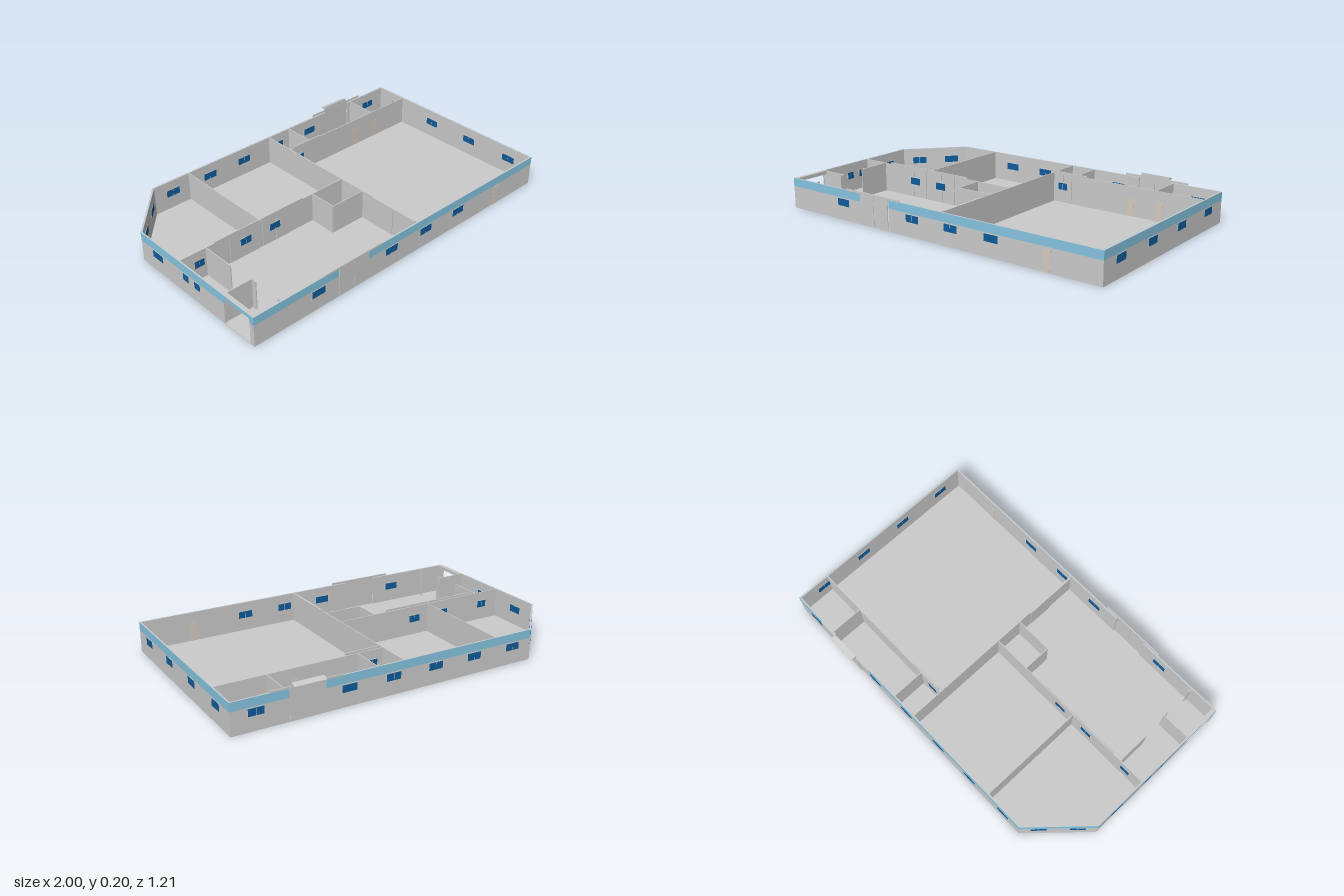
import * as THREE from 'three';

const H = 0.17, BAND = 0.124;
const mat = (color) => new THREE.MeshStandardMaterial({ color });
const grey = mat(0xcccccc), blue = mat(0x86c6e2), glass = mat(0x0f5c9c), pale = mat(0xd8d8d0), beige = mat(0xd6cdbf);

function box(parent, name, material, x0, x1, y0, y1, z0, z1) {
  const m = new THREE.Mesh(new THREE.BoxGeometry(x1 - x0, y1 - y0, z1 - z0), material);
  m.name = name;
  m.position.set((x0 + x1) / 2, (y0 + y1) / 2, (z0 + z1) / 2);
  parent.add(m);
  return m;
}

// Group whose local x runs along the wall from a to b, local z pointing outward
function along(root, name, a, b) {
  const g = new THREE.Group();
  g.name = name;
  g.position.set(a[0], 0, a[1]);
  g.rotation.y = Math.atan2(a[1] - b[1], b[0] - a[0]);
  g.userData.length = Math.hypot(b[0] - a[0], b[1] - a[1]);
  root.add(g);
  return g;
}

// Double-paned window passing through a wall between z0 and z1
function windowUnit(g, s, z0, z1, w = 0.084) {
  box(g, 'windowFrame', pale, s - w / 2 - 0.003, s + w / 2 + 0.003, 0.075, 0.12, z0 - 0.001, z1 + 0.001);
  for (const side of [-1, 1]) {
    const c = s + side * w / 4, h = w / 4 - 0.001;
    box(g, 'windowPane', glass, c - h, c + h, 0.078, 0.117, z0 - 0.002, z1 + 0.002);
  }
}

// Outer wall with a blue band outside, gaps for openings, and windows
function outerWall(root, name, a, b, windows, gaps = []) {
  const g = along(root, name, a, b);
  let s = 0;
  for (const [g0, g1] of [...gaps, [g.userData.length, 0]]) {
    if (g0 > s) {
      box(g, name + 'Panel', grey, s, g0, 0, H, -0.008, 0);
      box(g, 'blueBand', blue, s, g0, BAND, H, 0, 0.001);
    }
    s = g1;
  }
  for (const [p, w] of windows) windowUnit(g, p, -0.008, 0, w);
  return g;
}

// Sliding door: a long rail and two leaves hung in front of the wall
function slidingDoor(g, rail0, rail1, d0, d1, z, y0 = 0.006) {
  box(g, 'doorRail', grey, rail0, rail1, H, H + 0.011, z, z + 0.006);
  const mid = (d0 + d1) / 2;
  box(g, 'doorLeaf', grey, d0, mid - 0.001, y0, H + 0.003, z, z + 0.004);
  box(g, 'doorLeaf', grey, mid + 0.001, d1, y0, H + 0.003, z, z + 0.004);
}

export function createModel() {
  const root = new THREE.Group();
  root.name = 'building';
  const F = 0.598, B = -0.575;

  // Floor slab with one cut corner
  const plan = [[-1, F], [1, F], [1, B], [-0.73, B], [-1, -0.28]];
  const shape = new THREE.Shape(plan.map(([x, z]) => new THREE.Vector2(x, -z)));
  const floor = new THREE.Mesh(new THREE.ExtrudeGeometry(shape, { depth: 0.004, bevelEnabled: false }), grey);
  floor.name = 'floor';
  floor.rotation.x = -Math.PI / 2;
  root.add(floor);

  // Outer walls
  const front = outerWall(root, 'frontWall', plan[0], plan[1],
    [-0.61, -0.12, 0.13, 0.38].map((x) => [x + 1]), [[0.52, 0.72]]);
  slidingDoor(front, 0.42, 0.8, 0.52, 0.715, 0.001);
  box(front, 'frontDoor', beige, 1.68, 1.72, 0, 0.11, -0.01, 0.002);

  outerWall(root, 'rightWall', plan[1], plan[2], [0.45, 0.16, -0.13, -0.42].map((z) => [F - z]));

  const back = outerWall(root, 'backWall', plan[2], plan[3],
    [0.87, 0.38, 0.13, -0.12, -0.36, -0.61].map((x) => [1 - x]), [[0.3, 0.49]]);
  slidingDoor(back, 0.2, 0.58, 0.3, 0.49, 0.001);

  // Wedge awning over the back door
  const wedge = new THREE.Shape([[0, 0.18], [0.032, 0.183], [0.032, 0.187], [0, 0.197]].map((p) => new THREE.Vector2(...p)));
  const awning = new THREE.Mesh(new THREE.ExtrudeGeometry(wedge, { depth: 0.17, bevelEnabled: false }), grey);
  awning.name = 'awning';
  awning.rotation.y = -Math.PI / 2;
  awning.position.set(0.48, 0, 0.002);
  back.add(awning);

  const cut = Math.hypot(0.27, 0.295);
  outerWall(root, 'cornerWall', plan[3], plan[4], [[cut * 0.25], [cut * 0.75]]);

  const left = outerWall(root, 'leftWall', plan[4], plan[0],
    [[0.14], [0.37, 0.045], [0.46, 0.045]], [[0.665, 0.85]]);
  // Entrance lintel over the porch opening
  box(left, 'entranceLintel', grey, 0.66, 0.878, 0.15, H, -0.024, 0);
  box(left, 'blueBand', blue, 0.665, 0.85, 0.15, H, 0, 0.001);

  // Inner walls: [from, to]
  const T = 0.0025;
  const inner = [
    [[-1, 0.04], [0.07, 0.04]], [[-0.5, B], [-0.5, 0.04]], [[0.07, B], [0.07, F]],
    [[0.07, -0.38], [1, -0.38]], [[0.22, B], [0.22, -0.38]], [[0.72, B], [0.72, -0.38]],
    [[-0.84, 0.04], [-0.84, 0.235]], [[-0.145, 0.04], [-0.145, 0.2]], [[-0.145, 0.2], [0.07, 0.2]],
    [[-1, 0.38], [-0.83, 0.38]], [[-0.83, 0.38], [-0.83, 0.41]], [[-0.83, 0.565], [-0.83, F]],
  ].map(([a, b]) => {
    const g = along(root, 'innerWall', a, b);
    box(g, 'innerWallPanel', grey, 0, g.userData.length, 0, H, -T, T);
    return g;
  });

  // Doors and windows in the inner walls
  const [hall, , middle, rear] = inner;
  windowUnit(hall, 0.115, -T, T, 0.06);
  slidingDoor(hall, 0.21, 0.49, 0.3, 0.48, T);
  slidingDoor(hall, 0.5, 0.78, 0.51, 0.69, T);
  for (const s of [0.4, 0.59]) windowUnit(hall, s, -T, T + 0.004, 0.07);
  box(middle, 'doorRail', grey, 0.855, 1.155, H - 0.012, H, T, T + 0.006);
  box(middle, 'doorLeaf', grey, 0.86, 1.0, 0.006, H - 0.01, T, T + 0.004);
  slidingDoor(rear, 0.02, 0.22, 0.02, 0.12, T);
  windowUnit(rear, 0.065, -T, T + 0.004, 0.06);
  for (const s of [0.5, 0.67]) box(rear, 'innerDoor', beige, s - 0.02, s + 0.02, 0, 0.11, -T - 0.001, T + 0.001);

  return root;
}
